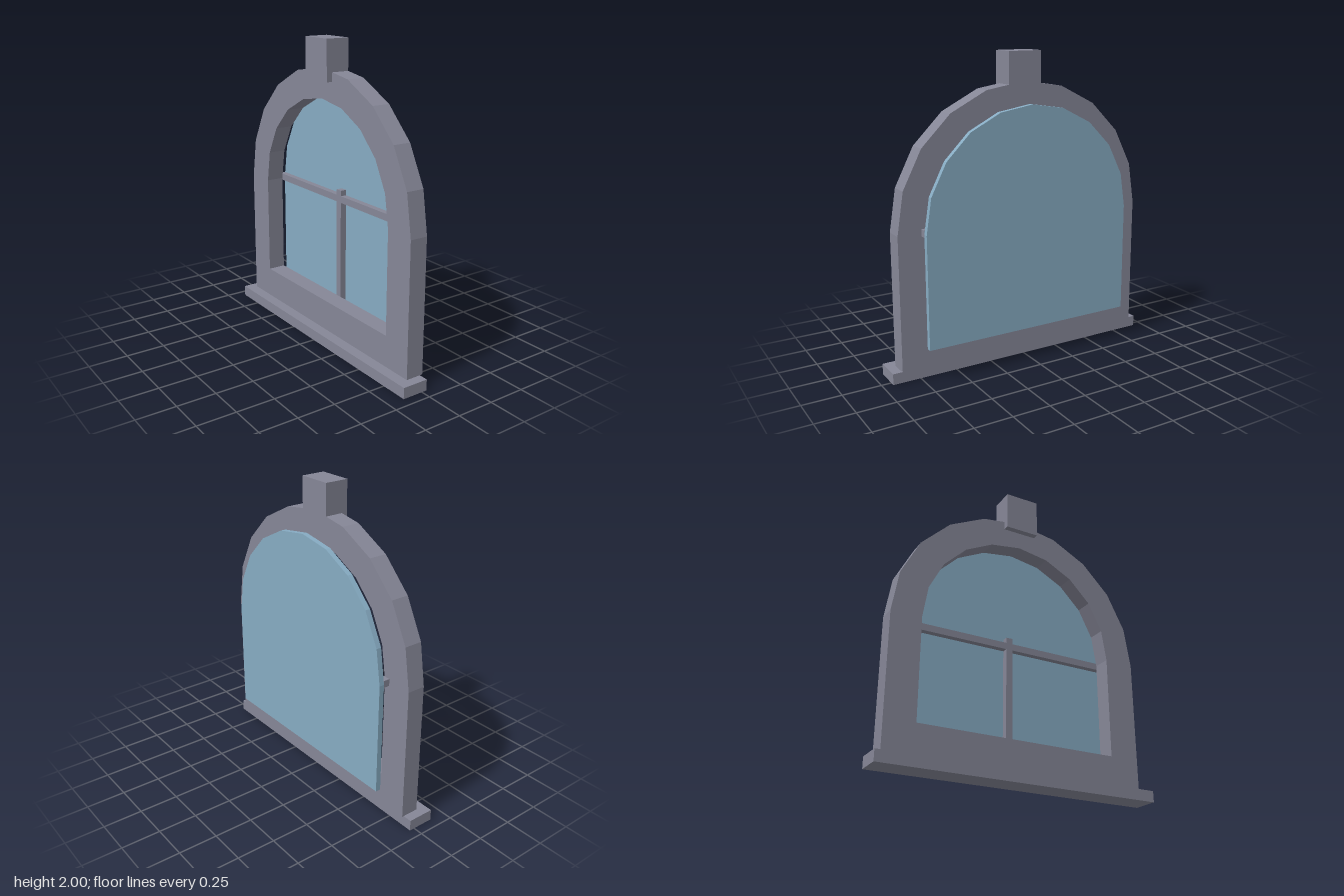
import * as THREE from 'three';

const STEPS = 10; // straight facets in each half-round arch

// Corners of a round-headed opening, counter-clockwise from bottom left
function archPoints(halfWidth, bottom, spring, rise) {
  const pts = [new THREE.Vector2(-halfWidth, bottom), new THREE.Vector2(halfWidth, bottom)];
  for (let i = 0; i <= STEPS; i++) {
    const a = (i / STEPS) * Math.PI;
    pts.push(new THREE.Vector2(Math.cos(a) * halfWidth, spring + Math.sin(a) * rise));
  }
  return pts;
}

export function createModel() {
  const model = new THREE.Group();
  const stone = new THREE.MeshStandardMaterial({ color: 0x858696 });
  stone.name = 'grey stone';
  const blue = new THREE.MeshStandardMaterial({ color: 0x86abc2 });
  blue.name = 'blue glass';

  function add(name, geometry, material) {
    const mesh = new THREE.Mesh(geometry, material);
    mesh.name = name;
    model.add(mesh);
  }

  // Box given by its limits on each axis
  function box(name, [x0, x1], [y0, y1], [z0, z1]) {
    const g = new THREE.BoxGeometry(x1 - x0, y1 - y0, z1 - z0);
    g.translate((x0 + x1) / 2, (y0 + y1) / 2, (z0 + z1) / 2);
    add(name, g, stone);
  }

  // Flat shape extruded between two depths
  function slab(name, shape, z0, z1, material) {
    const g = new THREE.ExtrudeGeometry(shape, { depth: z1 - z0, bevelEnabled: false });
    g.translate(0, 0, z0);
    add(name, g, material);
  }

  // Arched surround with its opening
  const surround = new THREE.Shape(archPoints(0.877, 0.075, 0.943, 0.873));
  surround.holes.push(new THREE.Path(archPoints(0.675, 0.28, 0.95, 0.675)));
  slab('archFrame', surround, -0.05, 0.07, stone);

  // Sill and keystone
  box('sill', [-0.935, 0.935], [0, 0.072], [-0.035, 0.14]);
  box('keystone', [-0.115, 0.115], [1.74, 2], [-0.05, 0.11]);

  // Glazing bars in front of the pane
  box('crossBar', [-0.73, 0.73], [0.93, 0.975], [-0.106, -0.065]);
  box('uprightBar', [-0.023, 0.023], [0.22, 1.012], [-0.106, -0.064]);

  // Glass pane set behind the surround
  slab('glassPane', new THREE.Shape(archPoints(0.73, 0.22, 0.95, 0.73)), -0.14, -0.106, blue);

  return model;
}
